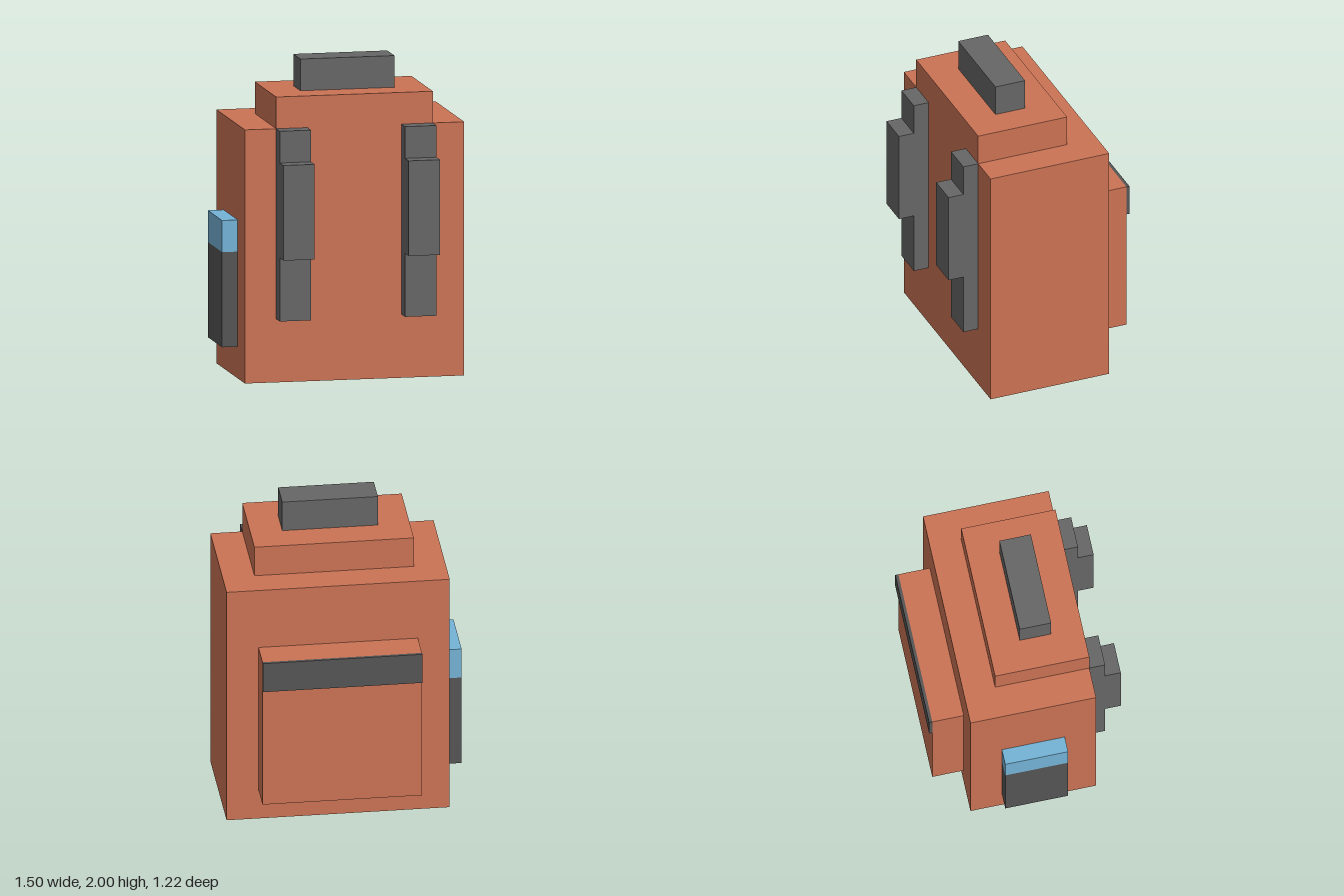
import * as THREE from 'three';

const paint = (color) => new THREE.MeshStandardMaterial({ color });

export function createModel() {
  const model = new THREE.Group();
  const fabric = paint(0xcb7354);
  const webbing = paint(0x666666);
  const mesh = paint(0x555555);
  const water = paint(0x74b3d6);

  // Box given by its min and max along each axis
  function block(name, [x0, x1], [y0, y1], [z0, z1], material, parent = model) {
    const box = new THREE.Mesh(new THREE.BoxGeometry(x1 - x0, y1 - y0, z1 - z0), material);
    box.position.set((x0 + x1) / 2, (y0 + y1) / 2, (z0 + z1) / 2);
    box.name = name;
    parent.add(box);
  }

  // Main bag, stepped lid and carry handle
  block('body', [-0.65, 0.75], [0, 1.6], [-0.39, 0.41], fabric);
  block('lid', [-0.45, 0.55], [1.6, 1.8], [-0.19, 0.41], fabric);
  block('handle', [-0.25, 0.35], [1.8, 2], [0.01, 0.21], webbing);

  // Shoulder straps, each with a thicker pad in the middle
  [['right', -0.45], ['left', 0.35]].forEach(([side, x]) => {
    const strap = new THREE.Group();
    strap.name = side + 'ShoulderStrap';
    block('strap', [x, x + 0.2], [0.4, 1.6], [0.41, 0.51], webbing, strap);
    block('strapPad', [x, x + 0.2], [0.8, 1.4], [0.51, 0.61], webbing, strap);
    model.add(strap);
  });

  // Back pocket with a dark flap band
  block('backPocket', [-0.45, 0.55], [0.2, 1.2], [-0.59, -0.39], fabric);
  block('pocketFlap', [-0.45, 0.55], [1, 1.2], [-0.61, -0.59], mesh);

  // Side pocket holding a bottle
  block('sidePocket', [-0.75, -0.65], [0.2, 0.8], [-0.19, 0.21], mesh);
  block('bottle', [-0.75, -0.65], [0.8, 1], [-0.19, 0.21], water);

  return model;
}
